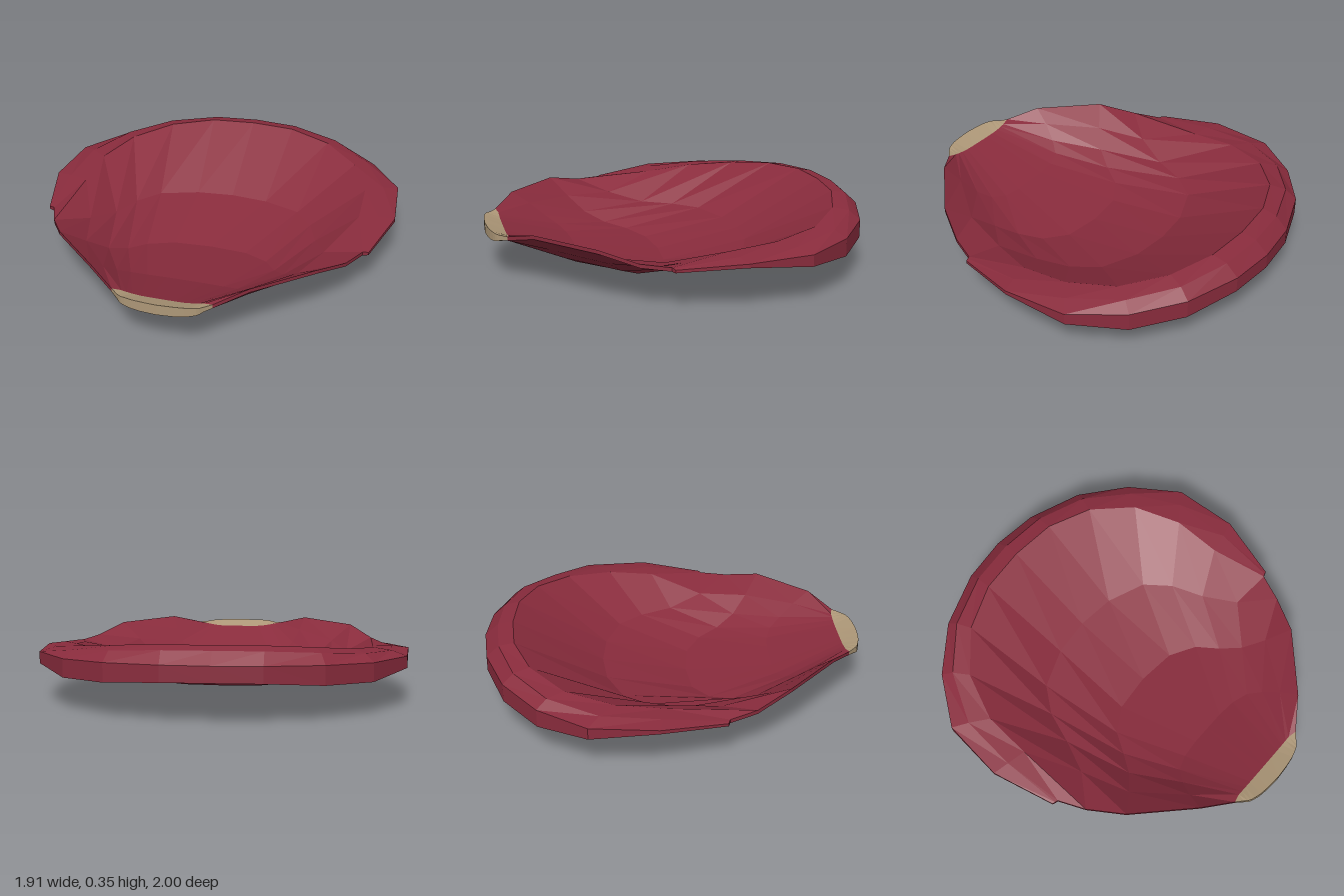
import * as THREE from 'three';

// Half cross-sections [x, z, y] from the centre line to the +x edge, front to back.
const bowlRows = [
  [[0, .995, .255], [.08, .99, .255], [.13, .983, .254], [.165, .973, .253], [.185, .965, .25], [.2, .955, .248], [.215, .94, .245]],
  [[0, .9, .225], [.06, .9, .225], [.11, .9, .226], [.15, .9, .23], [.18, .9, .235], [.205, .9, .24], [.25, .91, .248]],
  [[0, .53, .1], [.1, .53, .1], [.2, .54, .105], [.28, .57, .125], [.33, .63, .165], [.37, .71, .23], [.4, .8, .293]],
  [[0, .07, .03], [.2, .09, .034], [.33, .17, .05], [.4, .28, .075], [.47, .38, .125], [.56, .46, .2], [.67, .54, .285]],
  [[0, -.38, .11], [.2, -.36, .11], [.4, -.28, .115], [.5, -.15, .12], [.56, .02, .13], [.64, .2, .18], [.78, .36, .235]],
];
// Crest, rolled shoulder and outer lip around the back.
const rimRows = [
  [[0, -.85, .355], [.24, -.83, .353], [.47, -.74, .335], [.66, -.57, .305], [.76, -.33, .28], [.77, -.08, .255], [.84, .22, .225]],
  [[0, -.93, .34], [.24, -.91, .337], [.5, -.82, .32], [.71, -.65, .295], [.85, -.4, .275], [.87, -.1, .258], [.855, .215, .225]],
  [[0, -1, .28], [.24, -.975, .278], [.52, -.875, .27], [.75, -.7, .258], [.925, -.455, .255], [.955, -.12, .25], [.87, .21, .222]],
];
// Wall thickness of each row, from the centre line to the edge.
const even = (t) => [t, t, t, t, t, t, .02];
const thickness = [
  [.055, .054, .05, .046, .04, .034, .025],
  [.035, .035, .034, .032, .03, .025, .02],
  even(.03), even(.03), even(.03), even(.03), even(.035),
  [.08, .082, .095, .093, .06, .02, .015],
];

// Closed loop around one row: top from -x to +x, then underside back again.
function sectionLoop(row, thick) {
  const top = [], under = [];
  for (let k = -6; k <= 6; k++) {
    const j = Math.abs(k), [x, z, y] = row[j];
    const px = k < 0 ? -x : x;
    top.push([px, y, z]);
    under.unshift([px, Math.max(0, y - thick[j]), z]);
  }
  return [...top, ...under];
}

// Skin between consecutive loops, with an optional cap at the front or back.
function loft(loops, capFront, capBack) {
  const pos = [];
  const quad = (a, b, c, d) => pos.push(...a, ...b, ...c, ...a, ...c, ...d);
  const n = loops[0].length;
  for (let i = 0; i < loops.length - 1; i++) {
    for (let j = 0; j < n; j++) {
      const k = (j + 1) % n;
      quad(loops[i][j], loops[i][k], loops[i + 1][k], loops[i + 1][j]);
    }
  }
  for (let j = 0; j < n / 2 - 1; j++) {
    const ends = (l) => [l[j], l[n - 1 - j], l[n - 2 - j], l[j + 1]];
    if (capFront) quad(...ends(loops[0]));
    if (capBack) quad(...ends(loops[loops.length - 1]).reverse());
  }
  const geo = new THREE.BufferGeometry();
  geo.setAttribute('position', new THREE.Float32BufferAttribute(pos, 3));
  geo.computeVertexNormals();
  return geo;
}

export function createModel() {
  const petalRed = new THREE.MeshStandardMaterial({ color: 0x8a2c3d, flatShading: true });
  petalRed.name = 'petalRed';
  const baseTan = new THREE.MeshStandardMaterial({ color: 0xae9878, flatShading: true });
  baseTan.name = 'baseTan';

  const loops = [...bowlRows, ...rimRows].map((row, i) => sectionLoop(row, thickness[i]));
  const group = new THREE.Group();
  group.name = 'petal';

  // Cupped blade with its rolled back lip
  const blade = new THREE.Mesh(loft(loops.slice(1), false, true), petalRed);
  blade.name = 'petalBlade';
  // Pale tip where the petal joins the flower
  const tip = new THREE.Mesh(loft(loops.slice(0, 2), true, false), baseTan);
  tip.name = 'petalBase';
  group.add(blade, tip);
  return group;
}
